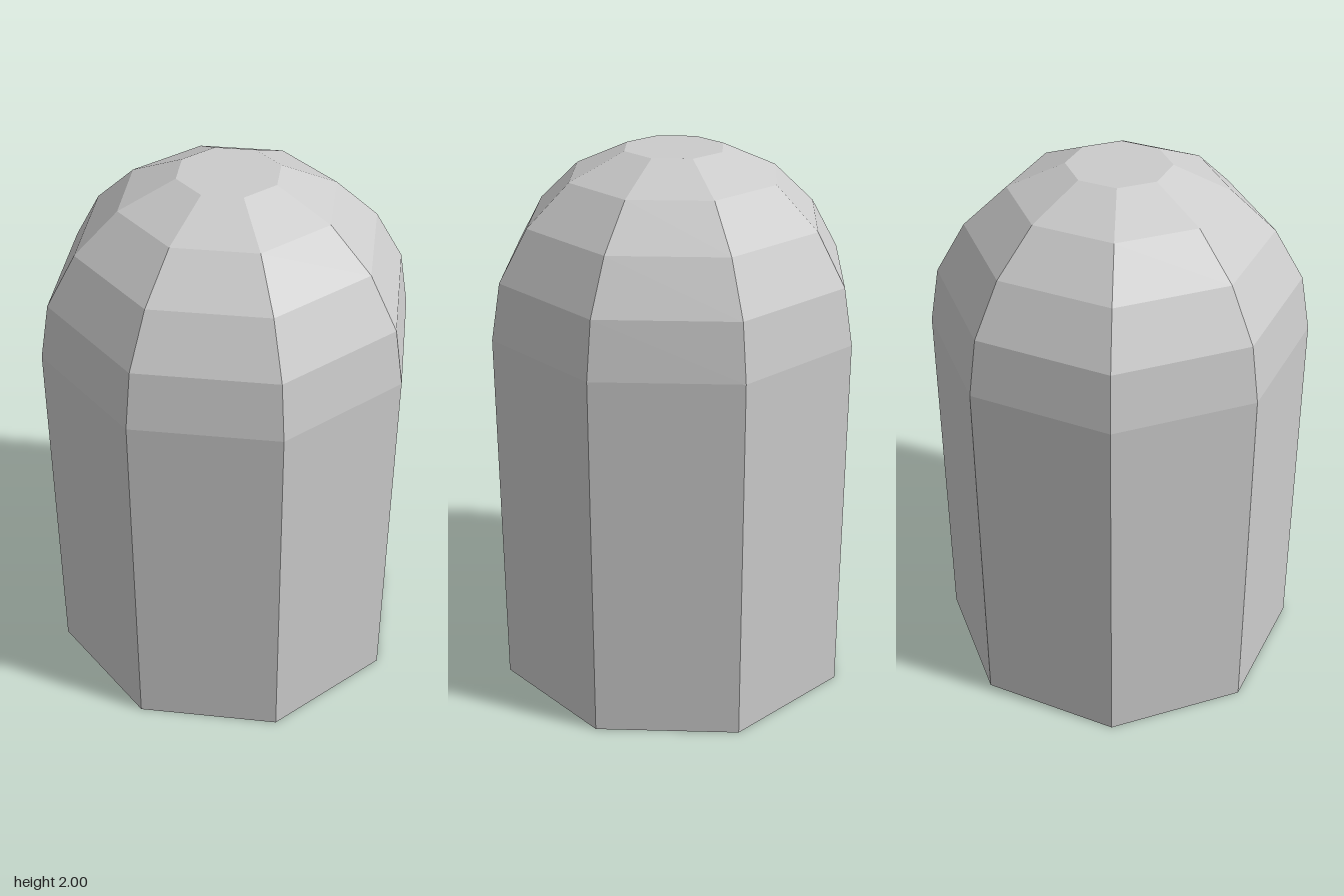
import * as THREE from 'three';

const SIDES = 8;

export function createModel() {
  const group = new THREE.Group();
  group.name = 'domedPost';
  const material = new THREE.MeshStandardMaterial({ color: 0xcccccc, flatShading: true });

  // Octagonal shaft, closed underneath, rising into a faceted dome with a flat crown
  const profile = [
    [0, 0], [0.68, 0], [0.68, 1.37],
    [0.645, 1.575], [0.54, 1.76], [0.385, 1.907], [0.183, 2], [0, 2],
  ].map(([r, y]) => new THREE.Vector2(r, y));

  const body = new THREE.Mesh(new THREE.LatheGeometry(profile, SIDES), material);
  body.name = 'domedBody';
  group.add(body);
  return group;
}
